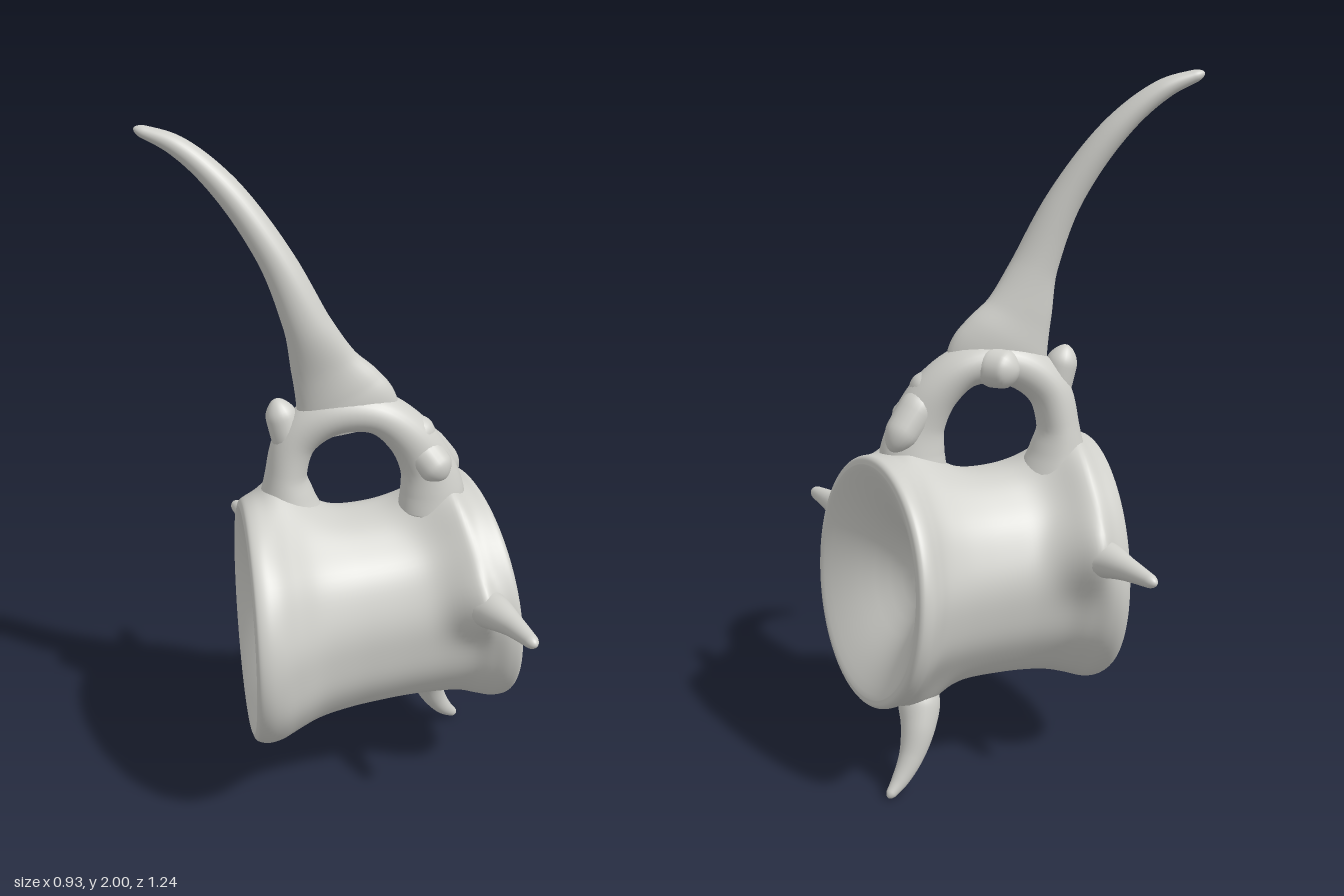
import * as THREE from 'three';

const V = (x, y, z) => new THREE.Vector3(x, y, z);

// Swellings of the body wall where processes, ridges and arch feet grow out: [centre, height, spread]
const mounds = [
  [V(0.187, 0.67, 0.33), 0.085, 0.075], [V(-0.072, 0.68, -0.34), 0.08, 0.085], [V(0.28, 0.28, -0.015), 0.055, 0.075],
  [V(0.205, 0.9, 0.085), 0.06, 0.095], [V(-0.17, 0.9, -0.13), 0.06, 0.1],
  [V(0.225, 0.86, 0.19), 0.045, 0.085], [V(0.21, 0.77, 0.27), 0.035, 0.085],
  [V(-0.145, 0.86, -0.24), 0.038, 0.085], [V(-0.12, 0.77, -0.31), 0.035, 0.085],
];

// Skin a list of rings {c, A, B}: c centre, A and B the two half-axis vectors; grow scales the mounds
function loft(rings, n) {
  const pos = [], idx = [];
  for (const { c, A, B, grow = 0 } of rings) {
    for (let j = 0; j < n; j++) {
      const t = (j / n) * Math.PI * 2;
      const k = 1 + 0.008 * grow * (Math.sin(5 * t + 1) + 0.6 * Math.sin(11 * t));
      const d = A.clone().multiplyScalar(Math.cos(t) * k).addScaledVector(B, Math.sin(t) * k);
      const p = c.clone().add(d);
      if (grow > 0) {
        const lift = mounds.reduce((s, [m, h, r]) => s + h * Math.exp(-p.distanceToSquared(m) / (r * r)), 0);
        p.addScaledVector(d.normalize(), lift * grow);
      }
      pos.push(p.x, p.y, p.z);
    }
  }
  for (let i = 0; i < rings.length - 1; i++) {
    for (let j = 0; j < n; j++) {
      const a = i * n + j, b = i * n + (j + 1) % n;
      idx.push(a, b, a + n, b, b + n, a + n);
    }
  }
  const g = new THREE.BufferGeometry();
  g.setAttribute('position', new THREE.Float32BufferAttribute(pos, 3));
  g.setIndex(idx);
  g.computeVertexNormals();
  return g;
}

// Sweep an ellipse along stations [x, y, z, a, b]; b is measured along w, a across it.
// The last part of the path, of length cap, is rounded off.
function sweep(stations, w, cap = 0.05, steps = 60, n = 28) {
  const path = new THREE.CatmullRomCurve3(stations.map(s => V(s[0], s[1], s[2])));
  const size = new THREE.CatmullRomCurve3(stations.map(s => V(s[3], s[4] ?? s[3], 0)));
  const rings = [];
  for (let i = 0; i <= steps; i++) {
    const t = Math.sin((i / steps) * Math.PI / 2);
    const T = path.getTangent(t), r = size.getPoint(t);
    const e = Math.max(0, (t - 1 + cap) / cap);
    const round = Math.max(0.01, Math.sqrt(Math.max(0, 1 - e * e)));
    const B = w.clone().addScaledVector(T, -w.dot(T)).normalize();
    const A = B.clone().cross(T);
    rings.push({ c: path.getPoint(t), A: A.multiplyScalar(r.x * round), B: B.multiplyScalar(r.y * round) });
  }
  return loft(rings, n);
}

// Spool-shaped body with dished ends; the two end planes are not parallel
function bodyGeometry() {
  const c0 = V(-0.317, 0.578, -0.127), c1 = V(0.372, 0.595, 0.093);
  const n0 = V(0.89, 0, 0.45).normalize(), n1 = V(0.96, 0.09, 0.27).normalize();
  // [position along the axis, sideways radius, upright radius]
  const side = [
    [0, 0.325, 0.335], [0.012, 0.343, 0.355], [0.05, 0.353, 0.366], [0.1, 0.347, 0.362],
    [0.17, 0.32, 0.342], [0.26, 0.285, 0.322], [0.38, 0.267, 0.31], [0.5, 0.263, 0.306],
    [0.62, 0.265, 0.307], [0.74, 0.275, 0.315], [0.83, 0.295, 0.325], [0.89, 0.325, 0.342],
    [0.94, 0.348, 0.356], [0.98, 0.351, 0.358], [0.995, 0.343, 0.35], [1, 0.325, 0.332],
  ];
  const profile = new THREE.CatmullRomCurve3(side.map(s => V(...s)));
  // [radius, depth] of the hollow in each end
  const dish = [[0.001, 0.165], [0.04, 0.162], [0.08, 0.15], [0.12, 0.128], [0.16, 0.1], [0.2, 0.07], [0.25, 0.038], [0.29, 0.016], [0.312, 0.005]];
  const ring = (t, rs, ru, off, grow) => {
    const N = n0.clone().lerp(n1, t).normalize();
    const U = V(0, 1, 0).addScaledVector(N, -N.y).normalize();
    const c = c0.clone().lerp(c1, t).addScaledVector(N, off);
    c.y -= 0.012 * Math.sin(Math.PI * t);
    return { c, A: U.clone().cross(N).multiplyScalar(rs), B: U.multiplyScalar(ru), grow };
  };
  const rings = dish.map(([r, d]) => ring(0, r, r * 1.03, d, 0));
  for (let i = 0; i <= 90; i++) {
    const s = profile.getPoint(i / 90);
    const t = THREE.MathUtils.clamp(s.x, 0, 1);
    const grow = THREE.MathUtils.smoothstep(t, 0.02, 0.16) * (1 - THREE.MathUtils.smoothstep(t, 0.84, 0.98));
    rings.push(ring(t, s.y, s.z, 0, grow));
  }
  [...dish].reverse().forEach(([r, d]) => rings.push(ring(1, r, r * 1.02, -d, 0)));
  return loft(rings, 96);
}

export function createModel() {
  const group = new THREE.Group();
  const bone = new THREE.MeshStandardMaterial({ color: 0xcfcfca });
  bone.name = 'paleBone';
  const add = (name, geometry) => {
    const m = new THREE.Mesh(geometry, bone);
    m.name = name;
    group.add(m);
  };
  const Y = V(0, 1, 0), Z = V(0, 0, 1);
  const across = V(-0.55, 0, 0.83).normalize(); // normal of the arch plane

  add('vertebraBody', bodyGeometry());

  // Arch over the canal: stations [distance along arch plane, height, a, b]
  const arch = [
    [-0.205, 0.86, 0.11, 0.1], [-0.21, 0.93, 0.082, 0.086], [-0.21, 1.01, 0.06, 0.074],
    [-0.178, 1.115, 0.062, 0.068], [-0.08, 1.188, 0.064, 0.074], [0.05, 1.188, 0.06, 0.074],
    [0.14, 1.12, 0.067, 0.07], [0.192, 1.03, 0.077, 0.067], [0.21, 0.95, 0.092, 0.076], [0.212, 0.88, 0.1, 0.088],
  ].map(([s, y, a, b]) => [0.02 + s * 0.83, y, -0.025 + s * 0.55, a, b]);
  add('neuralArch', sweep(arch, across, 0.02, 80, 32));

  // Tall curved spine, bladed at its foot
  add('neuralSpine', sweep([
    [0.0, 1.145, -0.035, 0.14, 0.04], [-0.012, 1.2, -0.04, 0.145, 0.056], [-0.03, 1.25, -0.053, 0.132, 0.057],
    [-0.065, 1.33, -0.07, 0.098, 0.052], [-0.113, 1.46, -0.085, 0.066, 0.055], [-0.177, 1.65, -0.14, 0.048, 0.05],
    [-0.272, 1.84, -0.237, 0.038, 0.044], [-0.36, 1.945, -0.325, 0.028, 0.032], [-0.444, 1.99, -0.4, 0.014, 0.017],
  ], across, 0.03, 80, 32));

  // Pointed processes on the two flanks and underneath
  add('frontProcess', sweep([
    [0.187, 0.668, 0.3, 0.05], [0.184, 0.678, 0.36, 0.058], [0.179, 0.685, 0.41, 0.051],
    [0.167, 0.69, 0.5, 0.033], [0.145, 0.692, 0.62, 0.017],
  ], Y));
  add('backProcess', sweep([
    [-0.07, 0.675, -0.31, 0.05], [-0.073, 0.68, -0.37, 0.06], [-0.072, 0.685, -0.42, 0.051],
    [-0.06, 0.685, -0.5, 0.034], [-0.04, 0.68, -0.624, 0.016],
  ], Y));
  add('lowerProcess', sweep([
    [0.275, 0.31, -0.015, 0.045], [0.288, 0.24, -0.033, 0.06], [0.31, 0.18, -0.052, 0.05],
    [0.343, 0.105, -0.06, 0.036], [0.385, 0.045, -0.06, 0.025], [0.432, 0.003, -0.06, 0.012],
  ], Z));

  // Small knobs where neighbouring bones would meet: [base, tip, radius]
  const knobs = [
    [[0.15, 1.13, 0.06], [0.285, 0.965, 0.08], 0.055],
    [[0.15, 1.1, 0.06], [0.192, 1.0, 0.155], 0.058],
    [[0.08, 1.16, 0.02], [0.2, 1.1, 0.095], 0.058],
    [[-0.14, 1.06, -0.12], [-0.178, 1.235, -0.152], 0.05],
    [[0.04, 1.19, -0.02], [0.005, 1.185, -0.14], 0.06],
  ];
  knobs.forEach(([p, q, r], i) => {
    const at = (t, k) => [0, 1, 2].map(a => p[a] + (q[a] - p[a]) * t).concat(r * k);
    add('jointKnob' + (i + 1), sweep([at(0, 0.5), at(0.35, 0.95), at(0.7, 0.9), at(1, 0.65)],
      Math.abs(q[2] - p[2]) > 0.08 ? Y : Z, 0.3, 24, 20));
  });

  return group;
}
